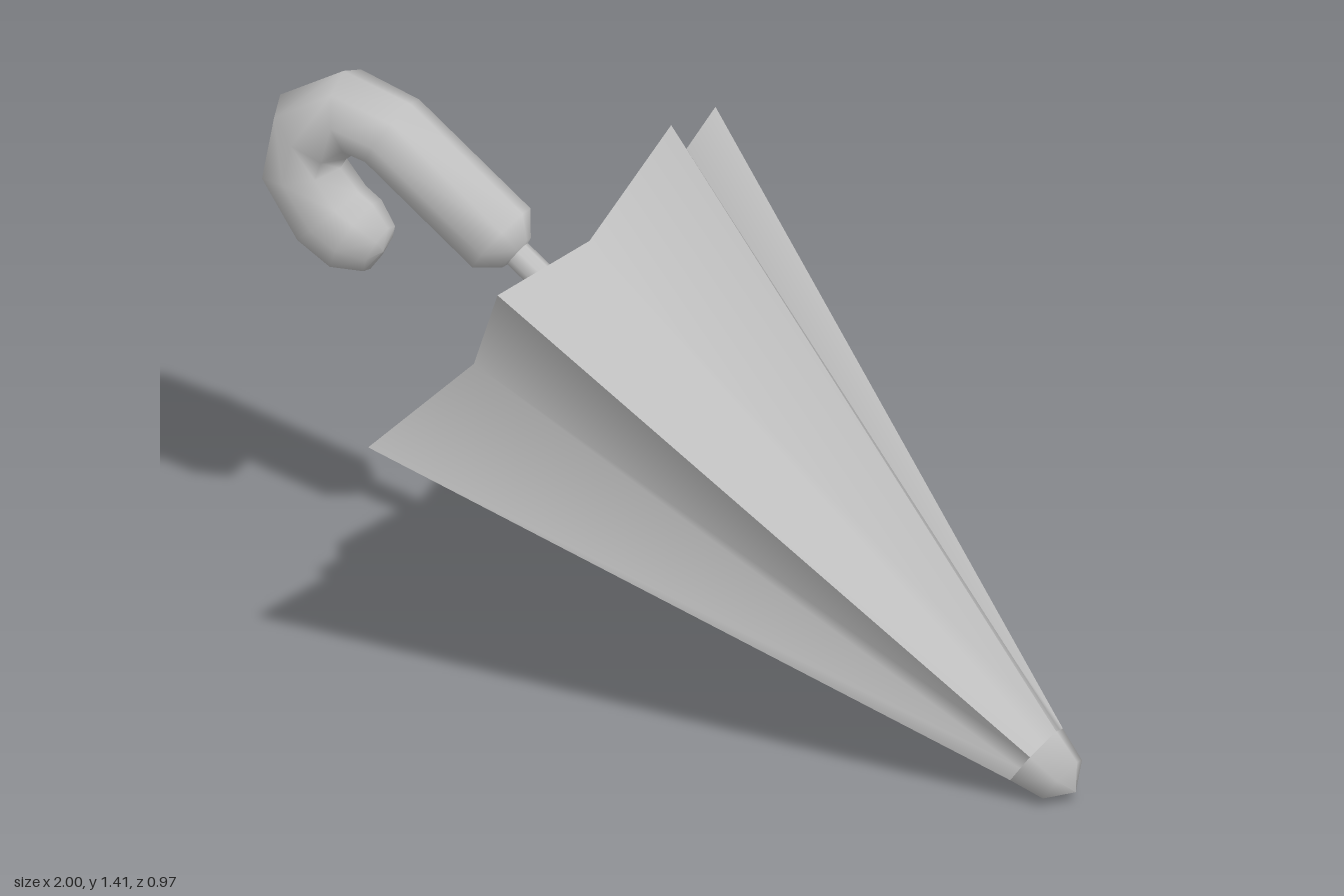
import * as THREE from 'three';

const SIDES = 6;

// Indexed surface from a flat position list, smooth across shared vertices
function surface(positions, index) {
  const geometry = new THREE.BufferGeometry();
  geometry.setAttribute('position', new THREE.Float32BufferAttribute(positions, 3));
  geometry.setIndex(index);
  geometry.computeVertexNormals();
  return geometry;
}

// One folded canopy panel: rib, valley, rib, creased only along the ribs
function panelGeometry(i) {
  const step = Math.PI / SIDES;
  const rim = [[0.56, 0], [0.37, -0.046], [0.56, 0]];
  const nose = [[0.085, -1.49], [0.0736, -1.49], [0.085, -1.49]];
  const positions = [];
  for (const row of [rim, nose]) {
    row.forEach(([r, y], k) => {
      const a = (2 * i + k) * step;
      positions.push(r * Math.cos(a), y, r * Math.sin(a));
    });
  }
  return surface(positions, [0, 1, 3, 1, 4, 3, 1, 2, 4, 2, 5, 4]);
}

// Tube of varying radius along a path [x, y, radius] in the x-y plane
function taperedTube(path, sides) {
  const positions = [];
  const index = [];
  path.forEach(([x, y, r], i) => {
    const p = path[Math.max(i - 1, 0)];
    const q = path[Math.min(i + 1, path.length - 1)];
    const t = new THREE.Vector2(q[0] - p[0], q[1] - p[1]).normalize();
    for (let j = 0; j < sides; j++) {
      const a = (j / sides) * Math.PI * 2;
      const n = r * Math.cos(a);
      positions.push(x - t.y * n, y + t.x * n, r * Math.sin(a));
      if (i < path.length - 1) {
        const k = (j + 1) % sides;
        const a0 = i * sides + j, b0 = i * sides + k;
        index.push(a0, b0, a0 + sides, b0, b0 + sides, a0 + sides);
      }
    }
  });
  return surface(positions, index);
}

export function createModel() {
  const grey = new THREE.MeshStandardMaterial({ color: 0xc0c0c0 });
  grey.name = 'grey';
  const fabric = new THREE.MeshStandardMaterial({ color: 0xc0c0c0, side: THREE.DoubleSide });
  fabric.name = 'grey fabric';

  const model = new THREE.Group();
  model.name = 'umbrella';
  const add = (parent, name, geometry, material) => {
    const mesh = new THREE.Mesh(geometry, material);
    mesh.name = name;
    parent.add(mesh);
    return mesh;
  };

  // Tilted body: local y runs from the nose to the handle, origin at the rim
  const body = new THREE.Group();
  body.name = 'body';
  body.position.set(-0.32, 0.96, 0);
  body.rotation.z = 0.963;
  model.add(body);

  // Star-shaped folded canopy
  const canopy = new THREE.Group();
  canopy.name = 'canopy';
  body.add(canopy);
  for (let i = 0; i < SIDES; i++) add(canopy, 'canopyPanel', panelGeometry(i), fabric);

  // Rounded nose cap
  const nose = [[0, -1.608], [0.063, -1.568], [0.085, -1.49]].map(([x, y]) => new THREE.Vector2(x, y));
  add(body, 'noseCap', new THREE.LatheGeometry(nose, SIDES, Math.PI / 2), grey);

  // Shaft running inside the canopy
  const shaft = add(body, 'shaft', new THREE.CylinderGeometry(0.032, 0.032, 1.6, 8), grey);
  shaft.position.y = -0.69;

  // Hooked handle with blunt rounded ends
  const hook = [
    [-0.372, 0.997, 0], [-0.383, 1.003, 0.045], [-0.42, 1.03, 0.09],
    [-0.69, 1.222, 0.09], [-0.79, 1.245, 0.095], [-0.885, 1.18, 0.1],
    [-0.91, 1.075, 0.094], [-0.84, 0.98, 0.095], [-0.78, 0.945, 0.092],
    [-0.722, 0.923, 0.06], [-0.712, 0.918, 0],
  ];
  add(model, 'handle', taperedTube(hook, 8), grey);

  return model;
}
